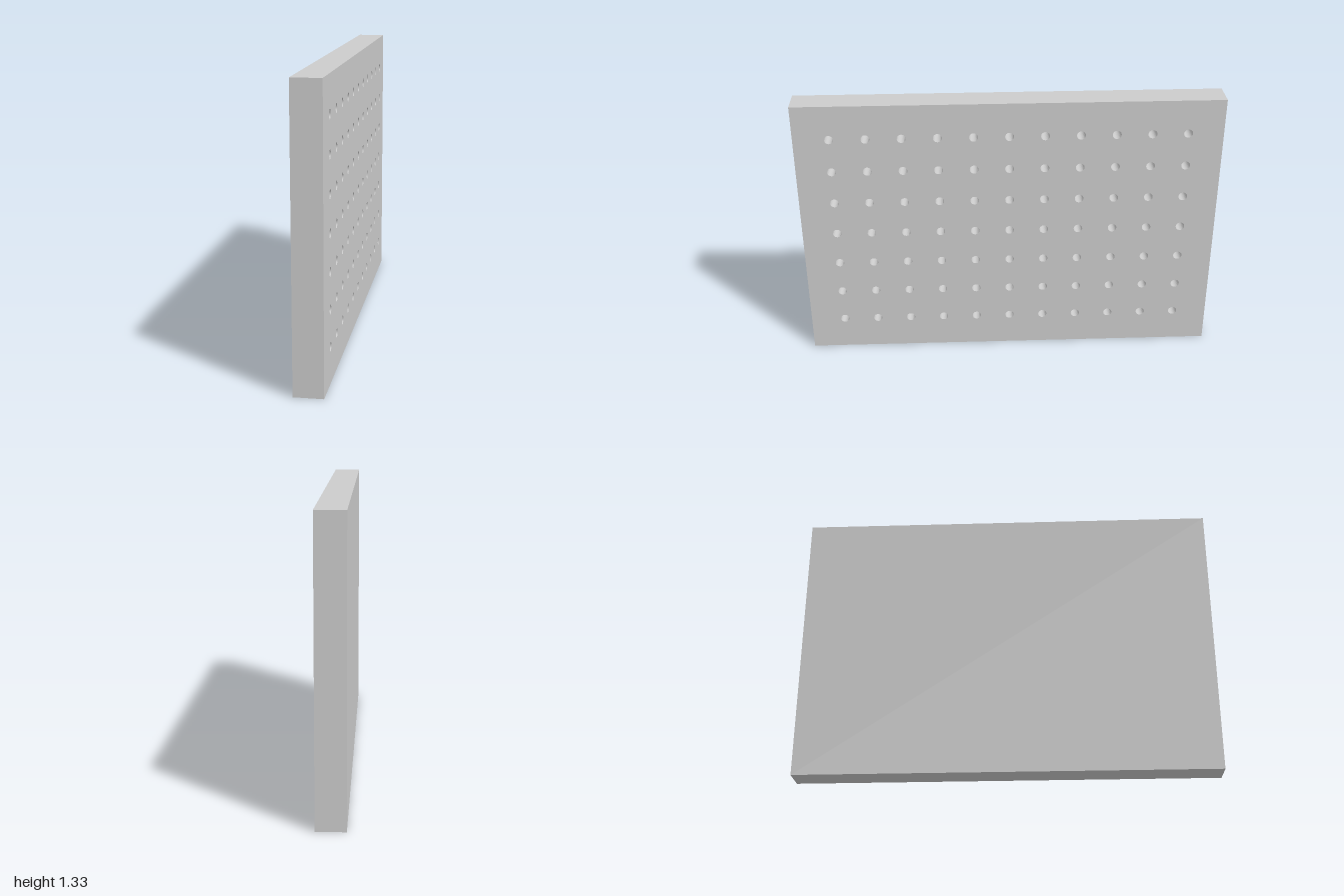
import * as THREE from 'three';

const LENGTH = 2, HEIGHT = 4 / 3, THICKNESS = 2 / 15;
const PITCH = 1 / 6, COLUMNS = 11, ROWS = 7, HOLE_RADIUS = 0.021;
const BACKING = 0.002; // skin that closes the holes at the rear

export function createModel() {
  const group = new THREE.Group();
  group.name = 'perforatedPanel';
  const material = new THREE.MeshStandardMaterial({ color: 0xcccccc });

  // Panel outline with a regular grid of round holes
  const outline = new THREE.Shape();
  outline.moveTo(-LENGTH / 2, 0);
  outline.lineTo(LENGTH / 2, 0);
  outline.lineTo(LENGTH / 2, HEIGHT);
  outline.lineTo(-LENGTH / 2, HEIGHT);
  outline.closePath();
  for (let row = 1; row <= ROWS; row++) {
    for (let col = 0; col < COLUMNS; col++) {
      const hole = new THREE.Path();
      hole.absarc((col - (COLUMNS - 1) / 2) * PITCH, row * PITCH, HOLE_RADIUS, 0, Math.PI * 2, true);
      outline.holes.push(hole);
    }
  }

  // Drilled body: extruded, then turned so the holes open toward +x
  const bodyGeometry = new THREE.ExtrudeGeometry(outline, {
    depth: THICKNESS - BACKING, bevelEnabled: false, curveSegments: 16,
  });
  bodyGeometry.rotateY(Math.PI / 2);
  bodyGeometry.translate(-THICKNESS / 2 + BACKING, 0, 0);
  const body = new THREE.Mesh(bodyGeometry, material);
  body.name = 'drilledBody';
  group.add(body);

  // Plain rear skin, the floor of every hole
  const backing = new THREE.Mesh(new THREE.BoxGeometry(BACKING, HEIGHT, LENGTH), material);
  backing.name = 'backing';
  backing.position.set(-THICKNESS / 2 + BACKING / 2, HEIGHT / 2, 0);
  group.add(backing);

  return group;
}
